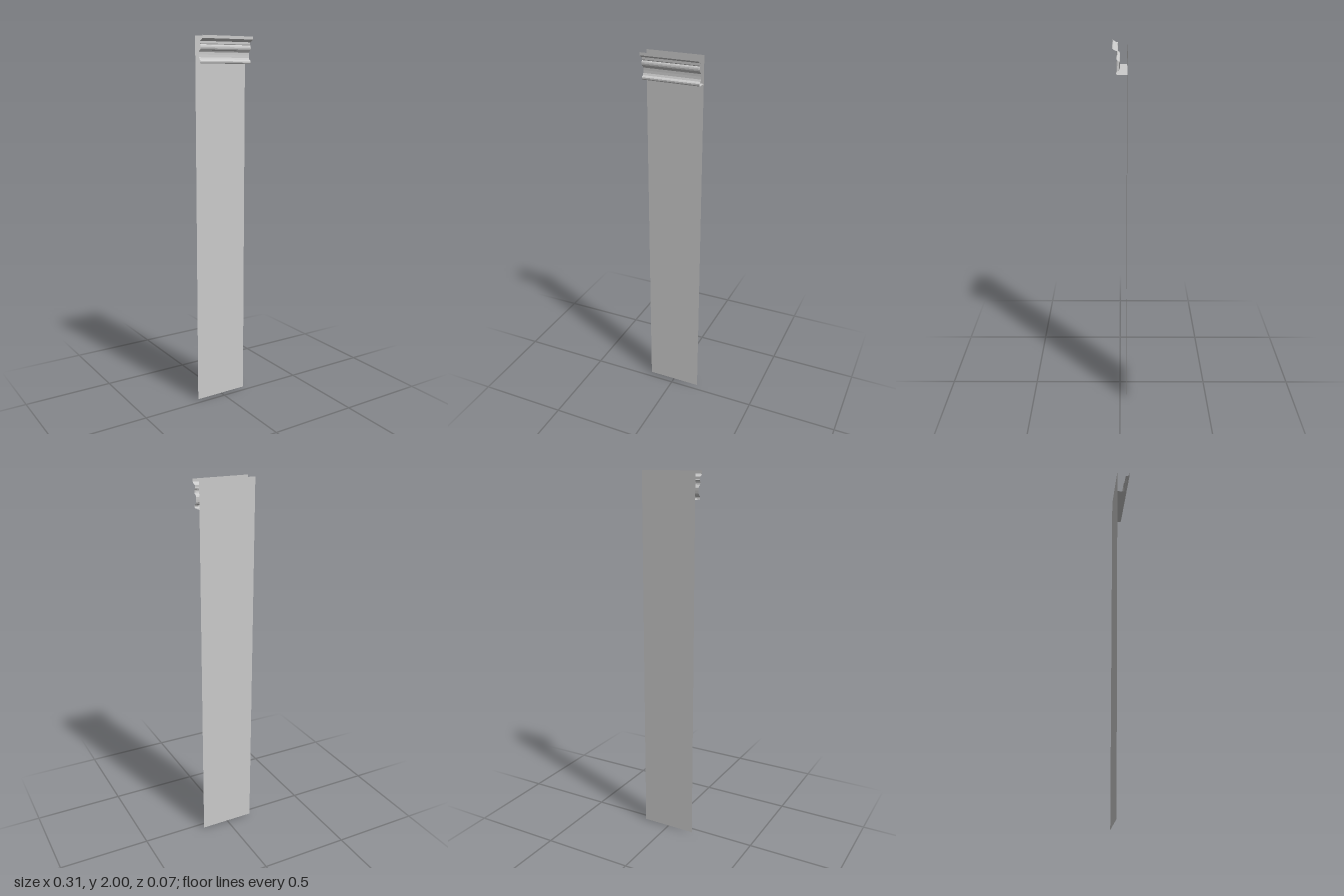
import * as THREE from 'three';

const HALF = 0.153;   // half width of the panel
const WALL_Z = -0.0365;

// Sweeps an open [z, y] profile straight along x, with crisp flat facets.
function sweepAlongX(profile) {
  const pos = [];
  for (let i = 0; i < profile.length - 1; i++) {
    const [z0, y0] = profile[i];
    const [z1, y1] = profile[i + 1];
    pos.push(-HALF, y0, z0, HALF, y0, z0, HALF, y1, z1);
    pos.push(-HALF, y0, z0, HALF, y1, z1, -HALF, y1, z1);
  }
  const geo = new THREE.BufferGeometry();
  geo.setAttribute('position', new THREE.Float32BufferAttribute(pos, 3));
  geo.computeVertexNormals();
  return geo;
}

export function createModel() {
  const group = new THREE.Group();
  const material = new THREE.MeshStandardMaterial({ color: 0xcccccc, side: THREE.DoubleSide });

  function add(name, profile) {
    const mesh = new THREE.Mesh(sweepAlongX(profile), material);
    mesh.name = name;
    group.add(mesh);
  }

  // Thin upright panel
  add('wallPanel', [[WALL_Z, 0], [WALL_Z, 2]]);

  // Rounded middle bead, bulging forward between the cove and the lip
  const bead = [];
  for (let i = 0; i <= 6; i++) {
    const a = -Math.PI / 2 + (i / 6) * Math.PI;
    bead.push([0.010 + 0.008 * Math.cos(a), 1.942 + 0.014 * Math.sin(a)]);
  }

  // Moulding: bottom shelf, lower bead, cove, middle bead, neck, flared lip
  add('crownMoulding', [
    [WALL_Z, 1.862], [0.015, 1.862], [0.018, 1.867], [0.018, 1.874], [0.014, 1.878],
    [0.006, 1.882], [0.001, 1.892], [0, 1.905], [0, 1.918], [0.004, 1.925],
    ...bead,
    [0.012, 1.960], [0.012, 1.972], [0.022, 1.975], [0.031, 1.980], [0.0365, 1.985],
    [0.0365, 2],
  ]);

  return group;
}
